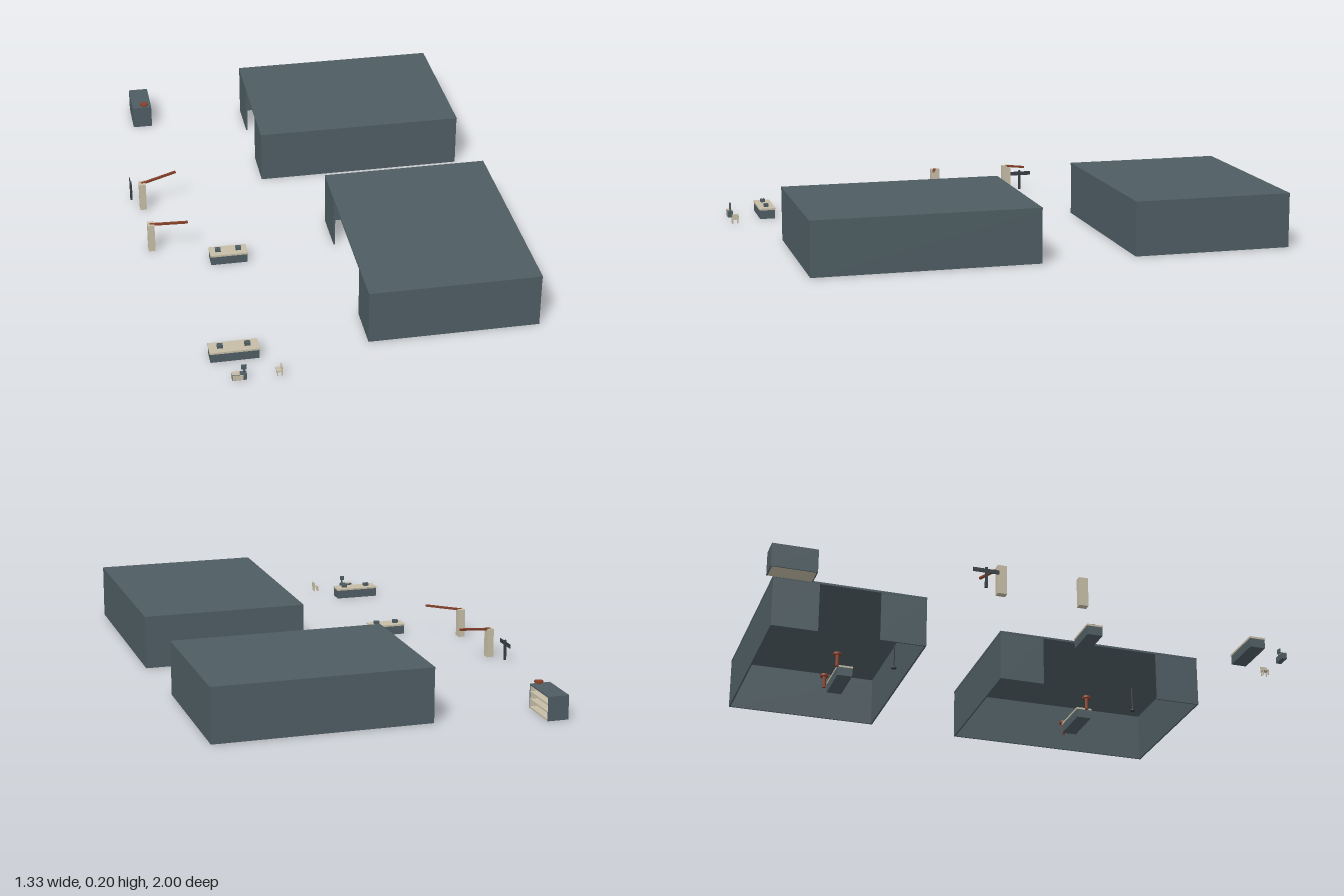
import * as THREE from 'three';

const mat = (name, color) => {
  const m = new THREE.MeshStandardMaterial({ color });
  m.name = name;
  return m;
};

export function createModel() {
  const slate = mat('slate', 0x4e5d63);
  const tan = mat('tan', 0xc5bda6);
  const dark = mat('charcoal', 0x363d41);
  const red = mat('rust red', 0x86402a);
  const model = new THREE.Group();

  const group = (name, x = 0, z = 0, parent = model) => {
    const g = new THREE.Group();
    g.name = name;
    g.position.set(x, 0, z);
    parent.add(g);
    return g;
  };
  // box given by its size and the centre of its base
  const box = (parent, name, m, w, h, d, x = 0, y = 0, z = 0) => {
    const mesh = new THREE.Mesh(new THREE.BoxGeometry(w, h, d), m);
    mesh.name = name;
    mesh.position.set(x, y + h / 2, z);
    parent.add(mesh);
    return mesh;
  };
  const disc = (parent, name, m, r, h, x = 0, y = 0, z = 0, sides = 12) => {
    const mesh = new THREE.Mesh(new THREE.CylinderGeometry(r, r, h, sides), m);
    mesh.name = name;
    mesh.position.set(x, y + h / 2, z);
    parent.add(mesh);
    return mesh;
  };

  // counter: solid body, pale top slab and two small units
  function counter(parent, x, z, w) {
    const g = group('counter', x, z, parent);
    const d = 0.062, h = 0.034;
    box(g, 'counterBody', slate, w - 0.004, h, d - 0.004);
    box(g, 'counterTop', tan, w, 0.007, d, 0, h, 0);
    for (const s of [-1, 1]) {
      box(g, 'counterUnit', slate, 0.02, 0.012, 0.016, s * w * 0.275, 0.041, 0);
    }
  }

  // hall: thin shell without a floor, wide opening in the -x wall
  function hall(x0, x1, z0, z1) {
    const w = x1 - x0, d = z1 - z0, t = 0.006, h = 0.192, stub = 0.175;
    const g = group('hall', (x0 + x1) / 2, (z0 + z1) / 2);
    box(g, 'roof', slate, w + 0.002, 0.008, d + 0.002, 0, h, 0);
    box(g, 'closedEndWall', slate, t, h, d, w / 2 - t / 2, 0, 0);
    for (const s of [-1, 1]) {
      box(g, 'sideWall', slate, w, h, t, 0, 0, s * (d / 2 - t / 2));
      box(g, 'openingWall', slate, t, h, stub, -w / 2 + t / 2, 0, s * (d / 2 - stub / 2));
    }
  }

  // furniture standing in a hall: counter, two stools and a stand
  function interior(x, z, stoolX, stoolZ, reach) {
    const g = group('hallFurniture', x, z);
    counter(g, 0, 0, 0.18);
    for (const s of [-1, 1]) {
      disc(g, 'stoolLeg', red, 0.007, 0.045, stoolX + s * reach, 0, stoolZ, 8);
      disc(g, 'stoolSeat', red, 0.017, 0.009, stoolX + s * reach, 0.045, stoolZ);
    }
    disc(g, 'standBase', dark, 0.01, 0.004, -0.21, 0, 0.16);
    disc(g, 'standPole', dark, 0.003, 0.1, -0.21, 0, 0.16, 8);
  }

  hall(0.048, 0.663, 0.032, 0.852);
  hall(-0.141, 0.646, -0.903, -0.319);
  interior(0.4, 0.47, -0.035, -0.02, 0.135);
  interior(0.3, -0.54, -0.06, -0.05, 0.105);

  counter(model, -0.425, 0.849, 0.174);
  counter(model, -0.356, 0.239, 0.139);

  // barrier gates, arms raised slightly and swung apart
  function barrier(z, side) {
    const g = group('barrier', -0.627, z);
    box(g, 'barrierPost', tan, 0.025, 0.11, 0.034);
    const from = new THREE.Vector3(-0.004, 0.107, 0);
    const to = new THREE.Vector3(0.134, 0.125, side * 0.037);
    const dir = to.clone().sub(from);
    const length = dir.length();
    const arm = group('barrierArm', 0, 0, g);
    arm.position.copy(from);
    arm.quaternion.setFromUnitVectors(new THREE.Vector3(1, 0, 0), dir.normalize());
    box(arm, 'armBeam', red, length, 0.008, 0.008, length / 2, -0.004, 0);
  }
  barrier(-0.187, -1);
  barrier(0.116, 1);

  // sign post with crossbar
  const sign = group('signPost', -0.666, -0.255);
  box(sign, 'signPole', dark, 0.008, 0.078, 0.009);
  box(sign, 'signBar', dark, 0.003, 0.015, 0.095, 0, 0.058, 0);

  // storage rack, open on its +x side, lined in tan
  const rack = group('storageRack', -0.559, -0.918);
  const rw = 0.076, rd = 0.164, rh = 0.088;
  box(rack, 'rackTop', slate, rw, 0.005, rd, 0, rh - 0.005, 0);
  box(rack, 'rackBack', slate, 0.004, rh, rd, -rw / 2 + 0.002, 0, 0);
  box(rack, 'rackLining', tan, 0.002, rh - 0.006, rd - 0.008, -rw / 2 + 0.005, 0, 0);
  for (const s of [-1, 1]) {
    box(rack, 'rackEnd', slate, rw, rh, 0.004, 0, 0, s * (rd / 2 - 0.002));
    box(rack, 'rackEndLining', tan, rw - 0.008, rh - 0.006, 0.002, 0.003, 0, s * (rd / 2 - 0.005));
  }
  for (let i = 0; i < 3; i++) {
    const y = i * 0.028;
    box(rack, 'rackShelf', tan, rw - 0.006, 0.006, rd - 0.008, 0.003, y, 0);
    for (let k = 0; k < 4; k++) {
      box(rack, 'storedBox', slate, 0.016, 0.016, 0.024, -0.024, y + 0.006, -0.057 + k * 0.038);
    }
  }
  disc(rack, 'wheelStem', red, 0.006, 0.008, 0.01, rh, 0.07, 8);
  disc(rack, 'wheelDisc', red, 0.016, 0.006, 0.01, rh + 0.006, 0.07);

  // small console with pale front and a raised screen
  const desk = group('console', -0.426, 0.985);
  box(desk, 'consoleBody', slate, 0.05, 0.023, 0.02);
  box(desk, 'consolePanel', tan, 0.036, 0.019, 0.002, -0.006, 0.002, 0.011);
  box(desk, 'consoleTop', tan, 0.026, 0.002, 0.02, -0.012, 0.023, 0);
  box(desk, 'consolePole', slate, 0.006, 0.016, 0.006, 0.017, 0.023, 0);
  box(desk, 'consoleScreen', slate, 0.018, 0.017, 0.006, 0.016, 0.038, 0);

  // little chair
  const chair = group('chair', -0.288, 0.982);
  box(chair, 'chairSeat', tan, 0.022, 0.005, 0.026, 0, 0.016, 0);
  box(chair, 'chairBack', tan, 0.005, 0.016, 0.026, 0.0085, 0.021, 0);
  for (const sx of [-1, 1]) for (const sz of [-1, 1]) {
    box(chair, 'chairLeg', tan, 0.004, 0.016, 0.004, sx * 0.008, 0, sz * 0.01);
  }
  return model;
}
